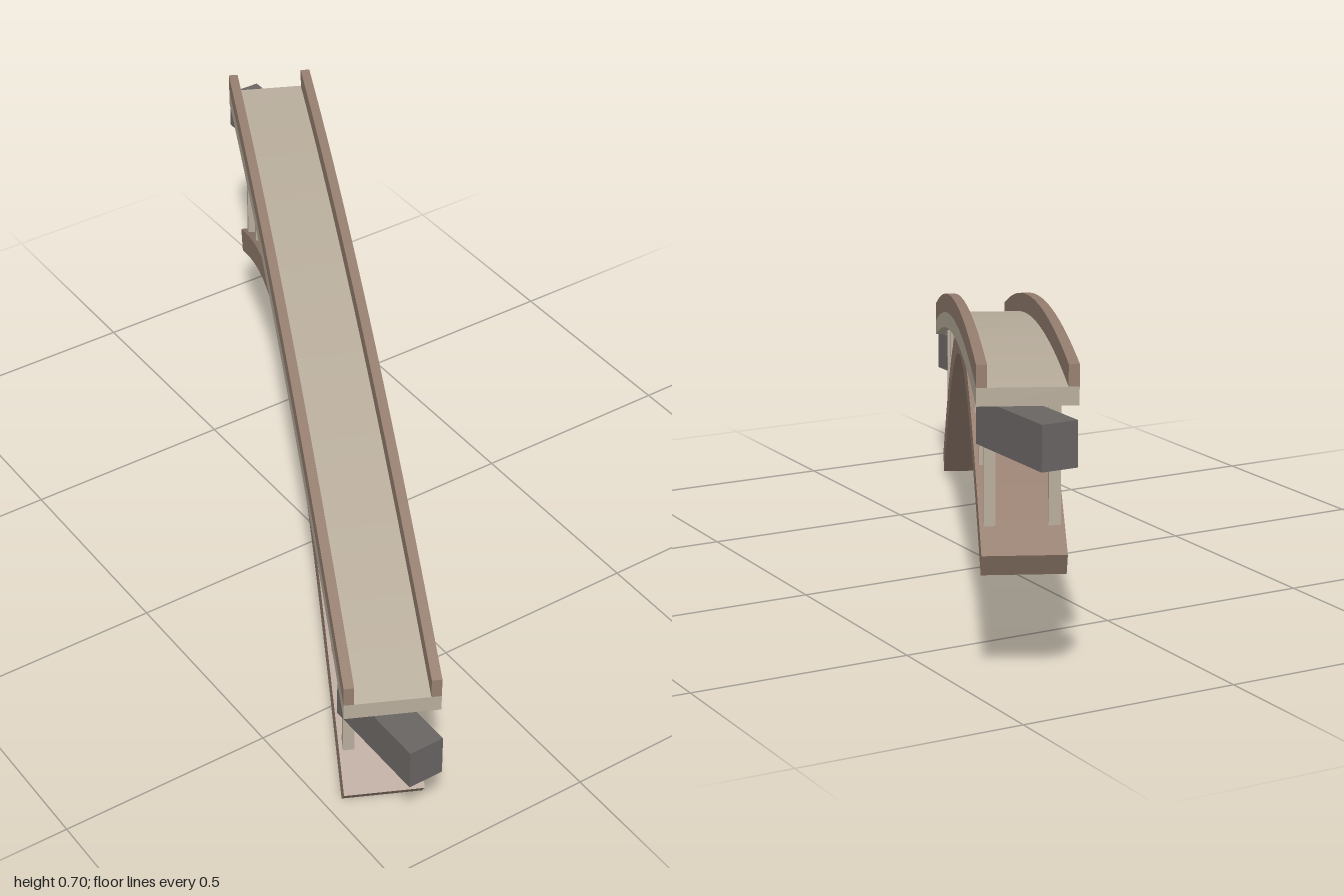
import * as THREE from 'three';

const HALF = 0.992; // half length of the deck along the bridge axis
const ARCH = 0.912; // half span of the arch at its top edge

// heights along the bridge, s running from the low end to the high end
const deckBottom = (s) => {
  const u = (s + HALF) / (2 * HALF);
  return 0.357 + 0.271 * (2 * u - u * u) + 0.005 * Math.sin(Math.PI * u);
};
const archTop = (s) => 0.174 + 0.135 * s + 0.4 * Math.cos((Math.PI / 2) * (s / ARCH));

// strip following the deck curve, from height a to b above its underside
function deckStrip(a, b, width, zCentre) {
  const n = 32;
  const low = [], high = [];
  for (let i = 0; i <= n; i++) {
    const s = -HALF + (2 * HALF * i) / n;
    low.push(new THREE.Vector2(s, deckBottom(s) + a));
    high.unshift(new THREE.Vector2(s, deckBottom(s) + b));
  }
  const geo = new THREE.ExtrudeGeometry(new THREE.Shape([...low, ...high]), { depth: width, bevelEnabled: false });
  return geo.translate(0, 0, zCentre - width / 2);
}

export function createModel() {
  const mat = (name, color) => {
    const m = new THREE.MeshStandardMaterial({ color });
    m.name = name;
    return m;
  };
  const concrete = mat('pale concrete', 0xb8ad9c);
  const stone = mat('brown stone', 0x967f70);
  const rock = mat('dark grey rock', 0x696563);

  const model = new THREE.Group();
  model.name = 'archBridge';
  const add = (parent, name, geo, material) => {
    const mesh = new THREE.Mesh(geo, material);
    mesh.name = name;
    parent.add(mesh);
    return mesh;
  };

  // bridge turned diagonally: local x runs along it, local z across it
  const bridge = new THREE.Group();
  bridge.name = 'bridge';
  bridge.rotation.y = 1.122;
  model.add(bridge);

  // deck and its two parapets
  add(bridge, 'deck', deckStrip(0, 0.038, 0.205, 0), concrete);
  for (const side of [-1, 1]) {
    add(bridge, side > 0 ? 'rightParapet' : 'leftParapet', deckStrip(0.038, 0.084, 0.022, side * 0.0915), stone);
  }

  // arch of straight stone blocks
  const arch = new THREE.Group();
  arch.name = 'arch';
  bridge.add(arch);
  const blocks = 20, thick = 0.055;
  for (let i = 0; i < blocks; i++) {
    const s0 = -ARCH + (2 * ARCH * i) / blocks;
    const s1 = s0 + (2 * ARCH) / blocks;
    const y0 = archTop(s0), y1 = archTop(s1);
    const angle = Math.atan2(y1 - y0, s1 - s0);
    const block = add(arch, 'archBlock', new THREE.BoxGeometry(Math.hypot(s1 - s0, y1 - y0), thick, 0.176), stone);
    block.rotation.z = angle;
    block.position.set(
      (s0 + s1) / 2 + (Math.sin(angle) * thick) / 2,
      (y0 + y1) / 2 - (Math.cos(angle) * thick) / 2,
      0
    );
  }

  // pairs of columns between the arch and the deck
  for (let i = -5; i <= 5; i++) {
    const s = i * 0.1655;
    const bottom = archTop(s) - 0.02, top = deckBottom(s) + 0.02;
    if (top - bottom < 0.045) continue;
    for (const side of [-1, 1]) {
      const column = add(bridge, 'column', new THREE.BoxGeometry(0.018, top - bottom, 0.025), concrete);
      column.position.set(s, (top + bottom) / 2, side * 0.067);
    }
  }

  // abutment blocks under both ends
  for (const [side, y] of [[1, 0.298], [-1, 0.568]]) {
    const block = add(model, side > 0 ? 'frontAbutment' : 'backAbutment', new THREE.BoxGeometry(0.082, 0.096, 0.266), rock);
    block.position.set(-side * 0.419, y, side * 0.867);
  }
  return model;
}
